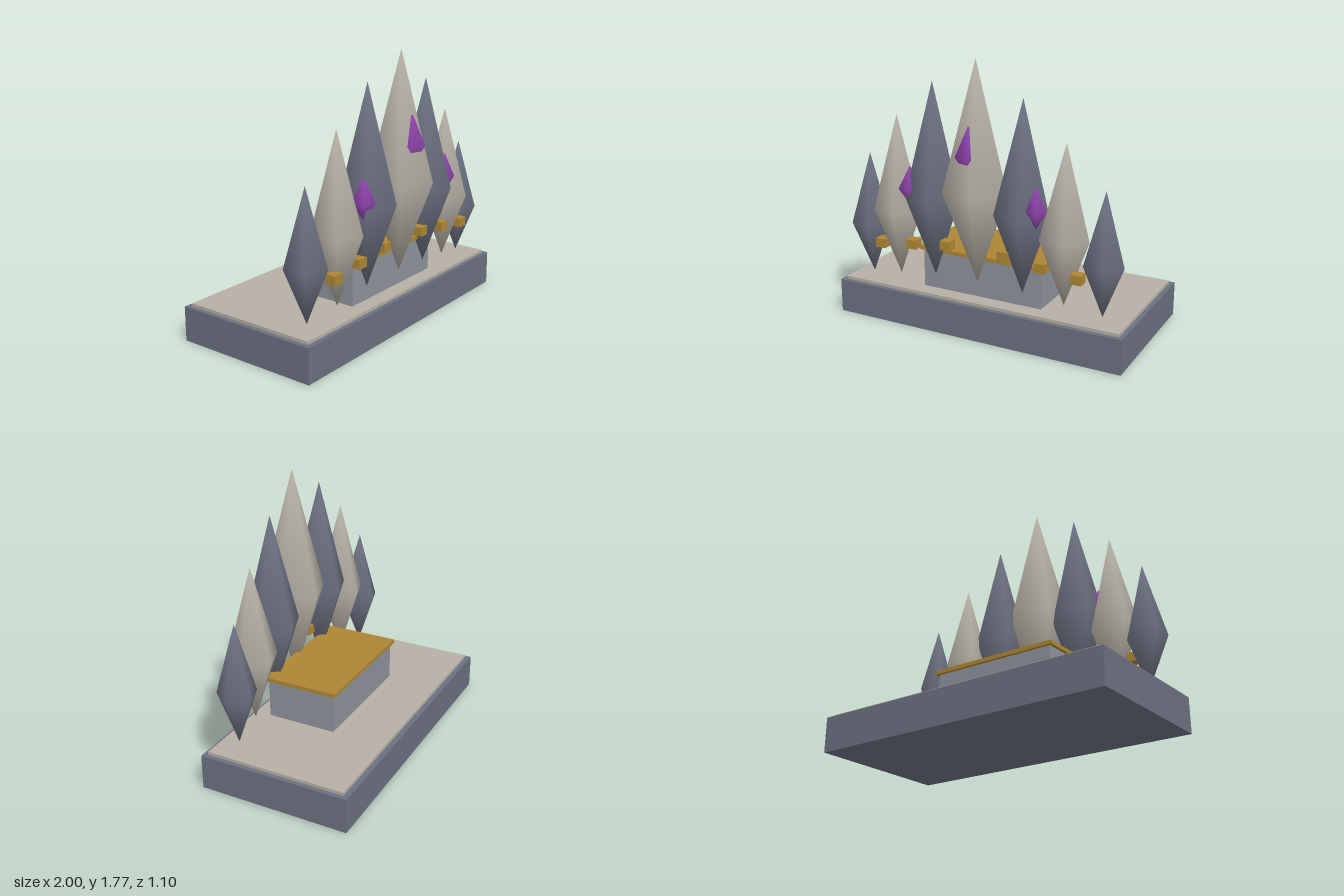
import * as THREE from 'three';

const material = (name, color) => {
  const m = new THREE.MeshStandardMaterial({ color });
  m.name = name;
  return m;
};

// Five-sided spindle with pointed ends, widest a little below its middle, smooth normals
function spindleGeometry(radius, bottom, top) {
  const sides = 5;
  const waist = bottom + (top - bottom) * 0.42;
  const points = [0, top, 0, 0, bottom, 0];
  const index = [];
  for (let i = 0; i < sides; i++) {
    const a = (i / sides) * Math.PI * 2;
    points.push(radius * Math.cos(a), waist, radius * Math.sin(a));
    const p = 2 + i;
    const q = 2 + ((i + 1) % sides);
    index.push(0, q, p, 1, p, q);
  }
  const g = new THREE.BufferGeometry();
  g.setAttribute('position', new THREE.Float32BufferAttribute(points, 3));
  g.setIndex(index);
  g.computeVertexNormals();
  return g;
}

export function createModel() {
  const group = new THREE.Group();
  group.name = 'crystalShrine';

  const slate = material('slate', 0x6b7080);
  const paleStone = material('paleStone', 0xb5afa5);
  const greyStone = material('greyStone', 0x8f929c);
  const gold = material('gold', 0xae8633);
  const purple = material('purple', 0x8e44ad);

  // Box given by its limits on each axis
  function box(name, mat, x0, x1, y0, y1, z0, z1) {
    const mesh = new THREE.Mesh(new THREE.BoxGeometry(x1 - x0, y1 - y0, z1 - z0), mat);
    mesh.position.set((x0 + x1) / 2, (y0 + y1) / 2, (z0 + z1) / 2);
    mesh.name = name;
    group.add(mesh);
  }

  function spindle(name, mat, x, z, radius, bottom, top) {
    const mesh = new THREE.Mesh(spindleGeometry(radius, bottom, top), mat);
    mesh.position.set(x, 0, z);
    mesh.name = name;
    group.add(mesh);
  }

  // Plinth, paving and altar
  box('base', slate, -1, 1, 0, 0.225, -0.55, 0.435);
  box('paving', paleStone, -0.97, 0.97, 0.225, 0.245, -0.515, 0.405);
  box('altarBlock', greyStone, -0.42, 0.42, 0.245, 0.5, -0.16, 0.3);
  box('altarTop', gold, -0.44, 0.44, 0.5, 0.525, -0.18, 0.32);

  // Row of large shards: x, z, radius, bottom, top
  [
    [-0.83, 0.282, 0.134, 0.27, 1.09],
    [-0.59, 0.315, 0.163, 0.31, 1.375],
    [-0.315, 0.33, 0.184, 0.355, 1.61],
    [0, 0.348, 0.212, 0.37, 1.77],
    [0.305, 0.33, 0.179, 0.345, 1.56],
    [0.575, 0.31, 0.158, 0.31, 1.32],
    [0.815, 0.278, 0.128, 0.27, 1.055],
  ].forEach((s, i) => spindle('shard' + (i + 1), i % 2 ? paleStone : slate, ...s));

  // Small crystals growing from the shards
  spindle('centreCrystal', purple, 0, 0.425, 0.092, 1.04, 1.405);
  spindle('rightCrystal', purple, -0.445, 0.4, 0.075, 0.82, 1.08);
  spindle('leftCrystal', purple, 0.43, 0.405, 0.068, 0.8, 1.06);

  // Gold links between the shards
  for (const side of [-1, 1]) {
    [[0.203, 0.585], [0.453, 0.555], [0.688, 0.525]].forEach(([x, y], i) => {
      const c = side * x;
      box((side > 0 ? 'leftLink' : 'rightLink') + (i + 1), gold,
        c - 0.035, c + 0.035, y - 0.03, y + 0.03, 0.335, 0.405);
    });
  }

  return group;
}
